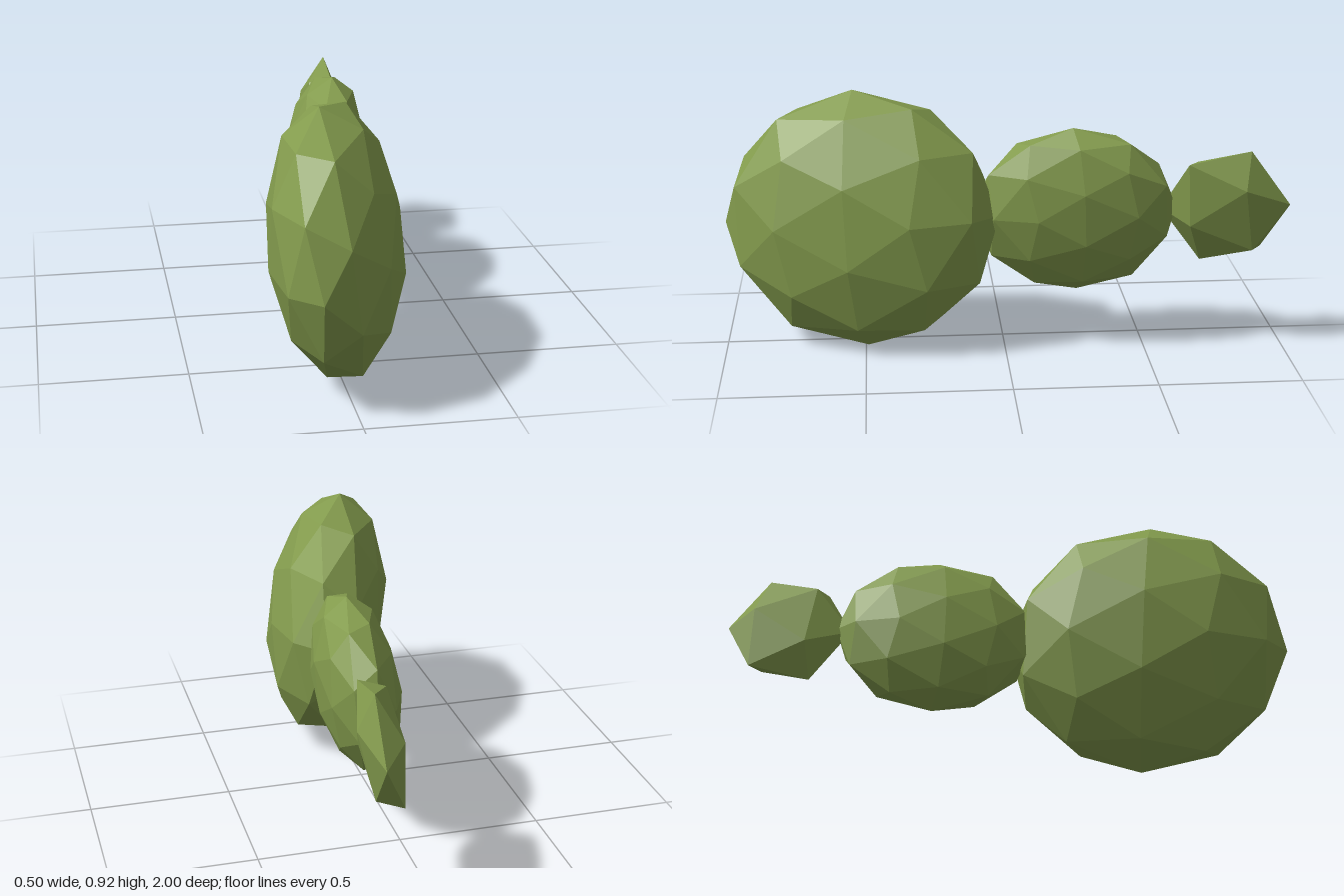
import * as THREE from 'three';

const material = new THREE.MeshStandardMaterial({ color: 0x839b4d, flatShading: true });
const t = (1 + Math.sqrt(5)) / 2;
const k = Math.sqrt(1 + t * t);

// Flattened, skewed icosphere: corners a, b, c of one icosahedron face, measured
// from the centre, fix its three axes.
function pad({ name, detail, centre, a, b, c }) {
  const va = new THREE.Vector3(...a);
  const vb = new THREE.Vector3(...b);
  const vc = new THREE.Vector3(...c);
  const x = vb.clone().sub(va).multiplyScalar(k / 2);
  const y = va.clone().add(vb).multiplyScalar(k / (2 * t));
  const z = vc.multiplyScalar(k).sub(y).divideScalar(t);

  const geometry = new THREE.IcosahedronGeometry(1, detail);
  geometry.applyMatrix4(new THREE.Matrix4().makeBasis(x, y, z));
  geometry.computeVertexNormals();

  const mesh = new THREE.Mesh(geometry, material);
  mesh.name = name;
  mesh.position.set(...centre);
  return mesh;
}

export function createModel() {
  const model = new THREE.Group();
  model.name = 'segmentedPads';

  // Three pads in a chain, shrinking towards the back, each tip sunk in the next
  model.add(
    pad({
      name: 'largePad', detail: 1, centre: [0, 0.46, 0.51],
      a: [-0.125, -0.04, 0.49], b: [-0.17, 0.367, 0.22], c: [0.07, 0.24, 0.27],
    }),
    pad({
      name: 'middlePad', detail: 1, centre: [0.09, 0.505, -0.25],
      a: [0.056, 0.255, 0.165], b: [-0.02, -0.015, 0.36], c: [-0.103, 0.155, 0.185],
    }),
    pad({
      name: 'smallPad', detail: 0, centre: [0.15, 0.525, -0.778],
      a: [0.04, 0.165, 0.14], b: [0.095, 0.08, -0.055], c: [0.04, -0.06, 0.13],
    }),
  );
  return model;
}
